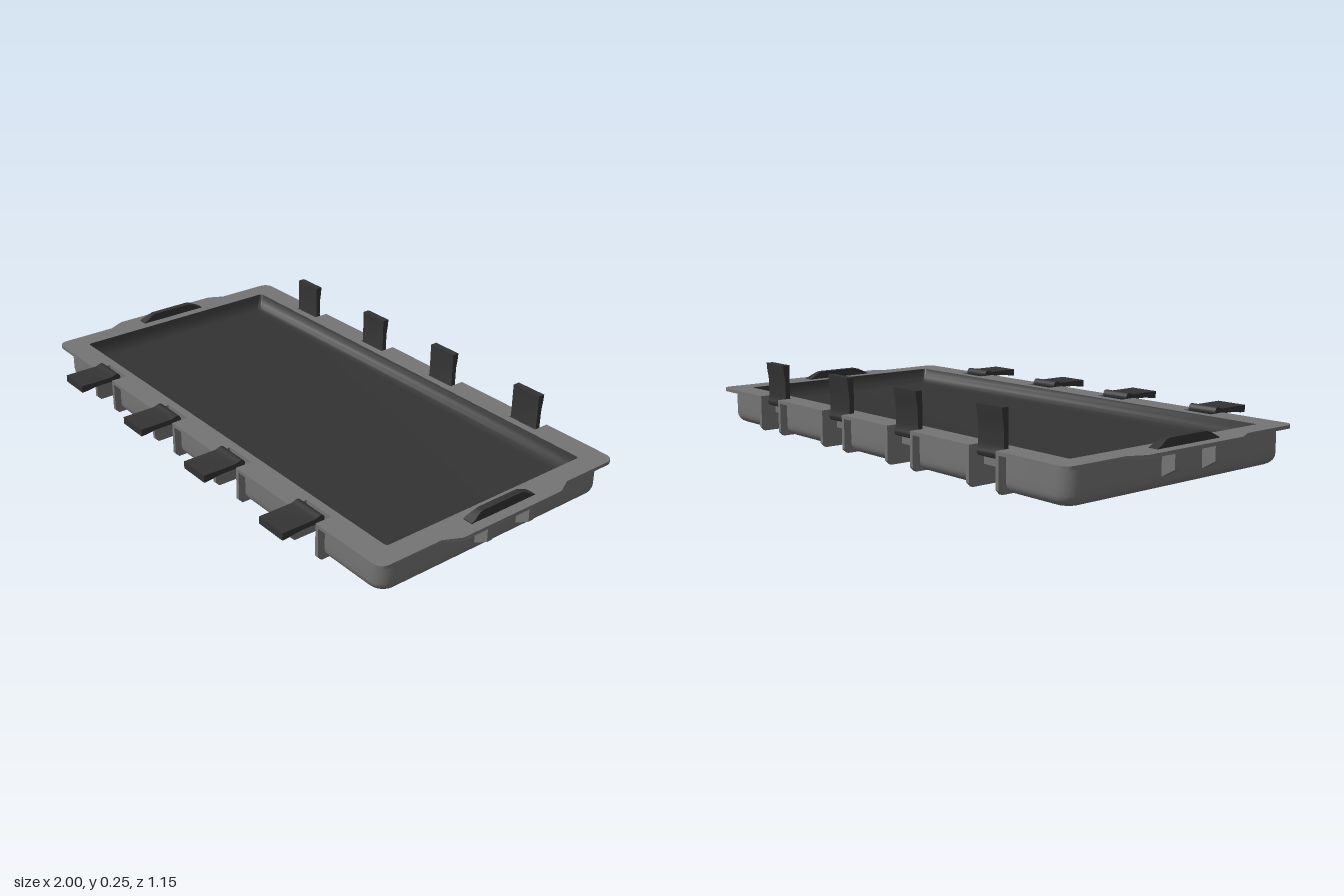
import * as THREE from 'three';
import { toCreasedNormals } from 'three/addons/utils/BufferGeometryUtils.js';

const grey = new THREE.MeshStandardMaterial({ color: 0x747474, side: THREE.DoubleSide });
const dark = new THREE.MeshStandardMaterial({ color: 0x333333, side: THREE.DoubleSide });
const LATCH_X = [-0.612, -0.195, 0.192, 0.61];
const LATCH_W = 0.122;

// Plan outline in (x, z): rounded rectangle, optionally with latch notches and side lobes
function plan({ hx, front, back, r, notchFront, notchBack, lobe }) {
  const pts = [];
  const add = (x, z) => pts.push(new THREE.Vector2(x, z));
  const corner = (sx, sz, quarter) => {
    const cx = sx * (hx - r), cz = sz > 0 ? front - r : back + r;
    for (let i = 0; i <= 6; i++) {
      const a = (quarter + i / 6) * Math.PI / 2;
      add(cx + r * Math.cos(a), cz + r * Math.sin(a));
    }
  };
  const notches = (edge, depth, dir) => {
    if (depth === undefined) return;
    const xs = dir > 0 ? LATCH_X : [...LATCH_X].reverse();
    for (const x of xs) {
      const a = x - dir * LATCH_W / 2, b = x + dir * LATCH_W / 2;
      add(a, edge); add(a, depth); add(b, depth); add(b, edge);
    }
  };
  const side = (s) => {
    if (!lobe) return;
    const p = [[hx, -0.34], [lobe, -0.28], [lobe, 0.15], [hx, 0.21]];
    (s > 0 ? p : p.reverse()).forEach(([x, z]) => add(s * x, z));
  };
  corner(1, 1, 0);
  notches(front, notchFront, -1);
  corner(-1, 1, 1);
  side(-1);
  corner(-1, -1, 2);
  notches(back, notchBack, 1);
  corner(1, -1, 3);
  side(1);
  return pts;
}

// Skin between matching outlines at rising or falling heights, closed on the first or last one
function loft(rings, capIndex, capUp) {
  const pos = [], idx = [], n = rings[0].pts.length;
  rings.forEach(({ pts, y }) => pts.forEach((p) => pos.push(p.x, y, p.y)));
  for (let k = 0; k < rings.length - 1; k++) {
    for (let i = 0; i < n; i++) {
      const a = k * n + i, b = k * n + (i + 1) % n;
      idx.push(a, a + n, b, b, a + n, b + n);
    }
  }
  const o = capIndex * n;
  for (const [a, b, c] of THREE.ShapeUtils.triangulateShape(rings[capIndex].pts, [])) {
    if (capUp) idx.push(o + a, o + c, o + b);
    else idx.push(o + a, o + b, o + c);
  }
  const g = new THREE.BufferGeometry();
  g.setAttribute('position', new THREE.Float32BufferAttribute(pos, 3));
  g.setIndex(idx);
  return toCreasedNormals(g, 0.55);
}

// Side profile in (z, y) extruded along x about a centre
function extrudeX(profile, x, width) {
  const shape = new THREE.Shape(profile.map(([z, y]) => new THREE.Vector2(z, y)));
  const g = new THREE.ExtrudeGeometry(shape, { depth: width, bevelEnabled: false });
  g.rotateY(-Math.PI / 2);
  g.translate(x + width / 2, 0, 0);
  return toCreasedNormals(g, 0.55);
}

// Latch profile: u runs from the knuckle to the tip, v is the thickness
function latchProfile() {
  const p = [[0.145, 0], [0.145, -0.026], [0.12, -0.024], [0.09, -0.019], [0.06, -0.018], [0.03, -0.018]];
  for (let i = 0; i <= 10; i++) {
    const a = -Math.PI * (0.25 + i / 10 * 1.45);
    p.push([0.016 * Math.cos(a), -0.009 + 0.016 * Math.sin(a)]);
  }
  p.push([0.022, 0]);
  return p;
}

export function createModel() {
  const model = new THREE.Group();
  const add = (name, geo, mat, parent = model) => {
    const m = new THREE.Mesh(geo, mat);
    m.name = name;
    parent.add(m);
    return m;
  };

  // Tray shell: rounded lower edge; each latch recess has a ceiling under the floor and a ramp down
  const R = 0.036, CEILING = 0.065;
  const levels = [0, 1, 2, 3, 4, 5].map((i) => {
    const a = i / 5 * Math.PI / 2;
    const y = R * (1 - Math.sin(Math.PI / 2 - a));
    return [y, R * (1 - Math.sin(a)), 0.14 - 0.055 * y / CEILING];
  });
  levels.push([CEILING, 0, 0.085], [CEILING, 0, 0], [0.122, 0, 0]);
  add('trayShell', loft(levels.map(([y, inset, cut]) => ({
    y,
    pts: plan({
      hx: 0.945 - inset, front: 0.426 - inset, back: -0.546 + inset, r: 0.055 - inset * 0.6,
      notchFront: 0.39 - cut, notchBack: -0.515 + cut,
    }),
  })), 0, false), grey);

  // Rim plate with side lobes, notches and the basin opening
  const flip = (pts) => pts.map((p) => new THREE.Vector2(p.x, -p.y));
  const opening = { hx: 0.892, front: 0.36, back: -0.487, r: 0.012 };
  const rim = new THREE.Shape(flip(plan({
    hx: 0.97, front: 0.452, back: -0.574, r: 0.035, notchFront: 0.39, notchBack: -0.515, lobe: 1,
  })));
  rim.holes.push(new THREE.Path(flip(plan(opening))));
  const rimGeo = new THREE.ExtrudeGeometry(rim, { depth: 0.012, bevelEnabled: false });
  rimGeo.rotateX(-Math.PI / 2);
  rimGeo.translate(0, 0.119, 0);
  add('rim', toCreasedNormals(rimGeo, 0.55), grey);

  // Shallow basin: walls curving into the floor
  add('basin', loft([[0.13, 0], [0.112, 0.005], [0.096, 0.013], [0.084, 0.024], [0.077, 0.036], [0.075, 0.05]]
    .map(([y, d]) => ({
      y,
      pts: plan({ hx: opening.hx - d, front: opening.front - d, back: opening.back + d, r: opening.r + d * 0.2 }),
    })), 5, true), dark);

  // Ribs on both sides of every latch recess
  const frontRib = [[0.385, 0], [0.438, 0], [0.452, 0.014], [0.452, 0.122], [0.385, 0.122]];
  const backRib = [[-0.505, 0], [-0.56, 0], [-0.574, 0.014], [-0.574, 0.122], [-0.505, 0.122]];
  const ribs = new THREE.Group();
  ribs.name = 'latchRibs';
  model.add(ribs);
  for (const x of LATCH_X) {
    for (const s of [-1, 1]) {
      const rx = x + s * (LATCH_W / 2 + 0.007);
      add('frontRib', extrudeX(frontRib, rx, 0.014), grey, ribs);
      add('backRib', extrudeX(backRib, rx, 0.014), grey, ribs);
    }
  }

  // Latches: front row folded out flat, back row standing up
  const latch = latchProfile();
  for (const x of LATCH_X) {
    add('frontLatch', extrudeX(latch.map(([u, v]) => [0.43 + u, 0.144 + v]), x, LATCH_W - 0.004), dark);
    add('backLatch', extrudeX(latch.map(([u, v]) => [-0.522 + v, 0.11 + u]), x, LATCH_W - 0.004), dark);
  }

  // Side grips and the brackets beneath the lobes
  const grip = [[0.08, 0.125], [0.08, 0.134], [0.065, 0.141], [0.04, 0.154], [0.025, 0.158],
    [-0.14, 0.158], [-0.155, 0.154], [-0.18, 0.141], [-0.2, 0.132], [-0.2, 0.125]];
  for (const s of [-1, 1]) {
    const g = extrudeX(grip, 0, 0.036);
    const p = g.attributes.position;
    for (let i = 0; i < p.count; i++) {
      if (p.getY(i) > 0.15) p.setX(i, p.getX(i) * 0.65);
    }
    add('sideGrip', g, dark).position.x = s * 0.945;

    for (const z of [0.033, -0.15]) {
      const shape = new THREE.Shape([[0.93, 0.122], [0.93, 0.04], [0.948, 0.042], [0.997, 0.07], [0.997, 0.122]]
        .map(([x, y]) => new THREE.Vector2(s * x, y)));
      const b = new THREE.ExtrudeGeometry(shape, { depth: 0.022, bevelEnabled: false });
      b.translate(0, 0, z - 0.011);
      add('lobeBracket', b, grey);
    }
  }
  return model;
}
